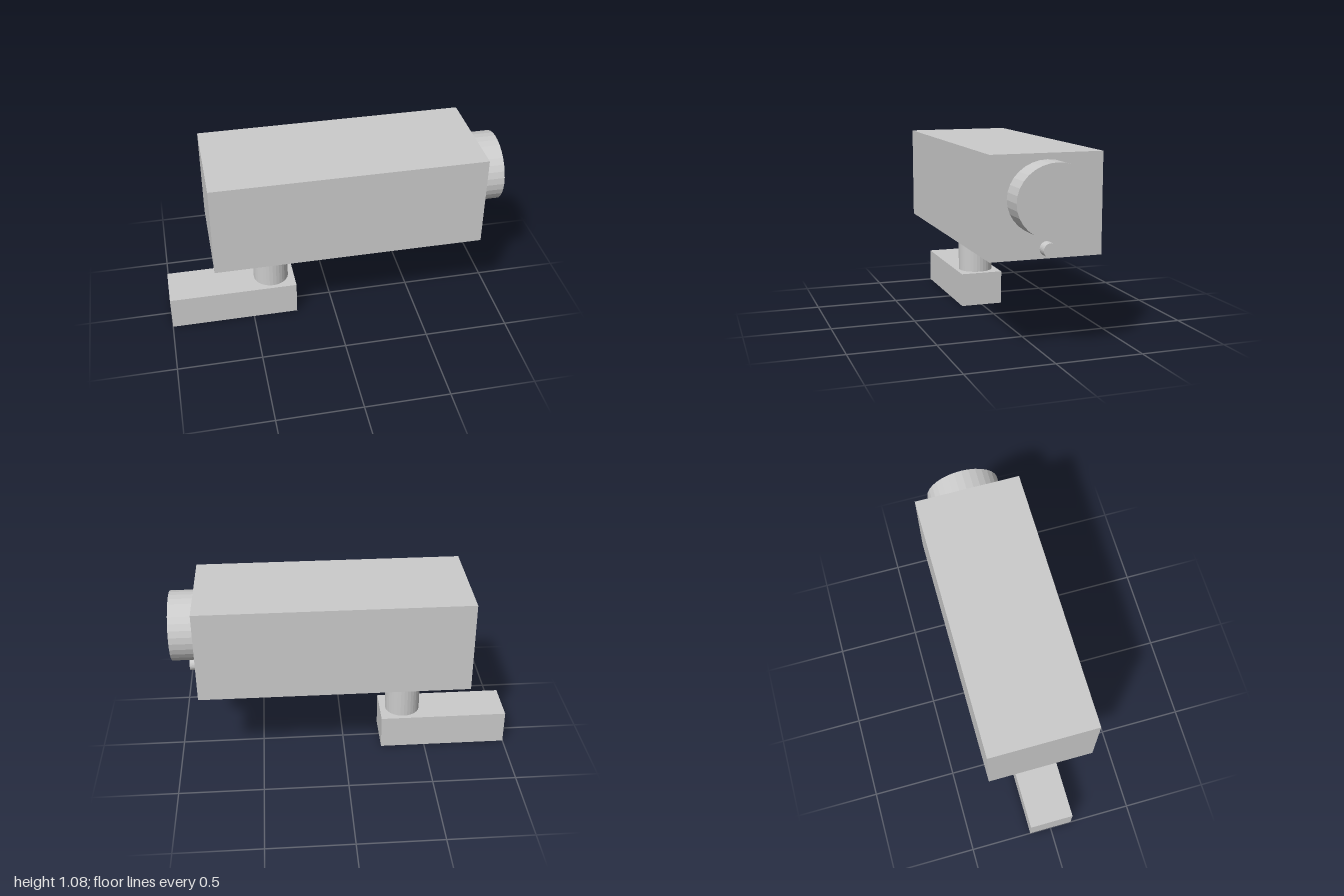
import * as THREE from 'three';

export function createModel() {
  const group = new THREE.Group();
  const material = new THREE.MeshStandardMaterial({ color: 0xcccccc, flatShading: true });

  function add(name, geometry, x, y, z = 0) {
    const mesh = new THREE.Mesh(geometry, material);
    mesh.name = name;
    mesh.position.set(x, y, z);
    group.add(mesh);
  }

  // Box given by its x and y extents and its depth
  function block(name, x0, x1, y0, y1, depth) {
    add(name, new THREE.BoxGeometry(x1 - x0, y1 - y0, depth), (x0 + x1) / 2, (y0 + y1) / 2);
  }

  // Cylinder along x with an elliptical section
  function barrel(name, x0, x1, y, radiusY, radiusZ) {
    const geometry = new THREE.CylinderGeometry(1, 1, x1 - x0, 32);
    geometry.rotateZ(-Math.PI / 2).scale(1, radiusY, radiusZ);
    add(name, geometry, (x0 + x1) / 2, y);
  }

  // Mounting arm and post
  block('mountArm', -1, -0.23, 0, 0.207, 0.262);
  add('mountPost', new THREE.CylinderGeometry(0.106, 0.106, 0.32, 32), -0.37, 0.367);

  // Camera housing
  block('housing', -0.727, 0.855, 0.527, 1.08, 0.628);

  // Lens and the small indicator below it
  barrel('lens', 0.855, 1, 0.848, 0.199, 0.221);
  barrel('indicator', 0.855, 0.915, 0.581, 0.039, 0.039);

  return group;
}
